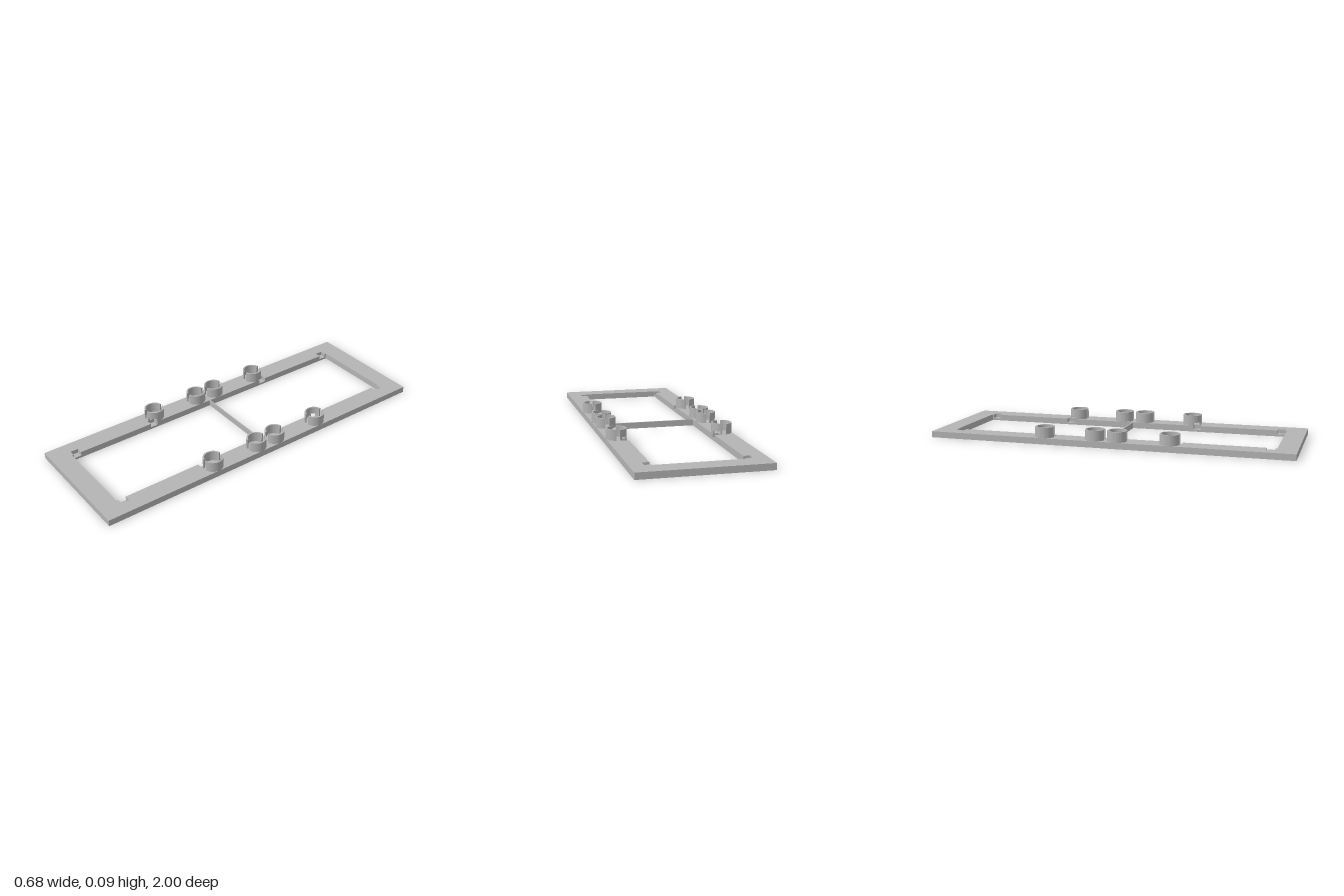
import * as THREE from 'three';
import { toCreasedNormals } from 'three/addons/utils/BufferGeometryUtils.js';

const W = 0.338, L = 1, TOP = 0.034;        // frame half width, half length, height
const IN_X = 0.23, IN_Z = 0.893;            // opening half sizes
const FLOOR = 0.012, NOTCH_X = 0.265;       // blind recesses in the inner edge
const NOTCHES = [[0.362, 0.404], [0.841, 0.884]];
const RING_X = 0.284, RING_TOP = 0.09, R_OUT = 0.054, R_IN = 0.046, SLOT = 0.01;
const WINDOW_TOP = 0.05;

// Extrude an x/z outline upward from y0 to y1
function slab(shape, y0, y1) {
  const g = new THREE.ExtrudeGeometry(shape, { depth: y1 - y0, bevelEnabled: false });
  g.rotateX(Math.PI / 2).translate(0, y1, 0);
  return toCreasedNormals(g, 0.6);
}

function frameShape(notched) {
  const shape = new THREE.Shape([[-W, -L], [W, -L], [W, L], [-W, L]].map(p => new THREE.Vector2(...p)));
  // One side of the opening, from its front to its back
  const side = [[IN_X, -IN_Z]];
  if (notched) {
    const spans = [...NOTCHES.map(([a, b]) => [-b, -a]).reverse(), ...NOTCHES];
    for (const [a, b] of spans) side.push([IN_X, a], [NOTCH_X, a], [NOTCH_X, b], [IN_X, b]);
  }
  side.push([IN_X, IN_Z]);
  const other = side.map(([x, z]) => [-x, -z]);
  shape.holes.push(new THREE.Path([...side, ...other].map(p => new THREE.Vector2(...p))));
  return shape;
}

// Arc of ring wall; angles run from the direction given by sx, toward sz.
// Ends listed as [outer angle, inner angle] so that slots stay parallel-sided.
function arcShape(start, end, sx, sz) {
  const pts = [], n = 24;
  const add = (r, a) => pts.push(new THREE.Vector2(sx * r * Math.cos(a), sz * r * Math.sin(a)));
  for (let i = 0; i <= n; i++) add(R_OUT, start[0] + (end[0] - start[0]) * i / n);
  for (let i = n; i >= 0; i--) add(R_IN, start[1] + (end[1] - start[1]) * i / n);
  return new THREE.Shape(pts);
}

export function createModel() {
  const model = new THREE.Group();
  const grey = new THREE.MeshStandardMaterial({ color: 0xb4b4b4 });
  grey.name = 'grey plastic';
  const add = (parent, name, geometry) => {
    const mesh = new THREE.Mesh(geometry, grey);
    mesh.name = name;
    parent.add(mesh);
    return mesh;
  };

  // Rectangular frame with recesses cut down from the top
  add(model, 'frameBase', slab(frameShape(false), 0, FLOOR));
  add(model, 'frameTop', slab(frameShape(true), FLOOR, TOP));

  // Thin brace across the middle
  add(model, 'crossBrace', new THREE.BoxGeometry(2 * IN_X, TOP, 0.006)).position.y = TOP / 2;

  // Split rings, slotted at front and back
  const lim = [R_OUT, R_IN].map(r => Math.acos(SLOT / r));
  const neg = lim.map(a => -a);
  for (const sx of [-1, 1]) for (const sz of [-1, 1]) for (const z of [0.062, 0.346]) {
    const ring = new THREE.Group();
    ring.name = 'splitRing';
    ring.position.set(sx * RING_X, 0, sz * z);
    add(ring, 'outerHalf', slab(arcShape(neg, lim, sx, sz), TOP, RING_TOP));
    if (z < 0.2) {
      add(ring, 'innerHalf', slab(arcShape(neg, lim, -sx, sz), TOP, RING_TOP));
    } else {
      // Recess continues as a small window at the foot of the ring
      const a = [R_OUT, R_IN].map(r => Math.asin((NOTCHES[0][0] - z) / r));
      const b = [R_OUT, R_IN].map(r => Math.acos((RING_X - NOTCH_X) / r));
      add(ring, 'innerHalf', slab(arcShape(neg, lim, -sx, sz), WINDOW_TOP, RING_TOP));
      add(ring, 'innerFoot', slab(arcShape(neg, a, -sx, sz), TOP, WINDOW_TOP));
      add(ring, 'innerFootEnd', slab(arcShape(b, lim, -sx, sz), TOP, WINDOW_TOP));
    }
    model.add(ring);
  }
  return model;
}
